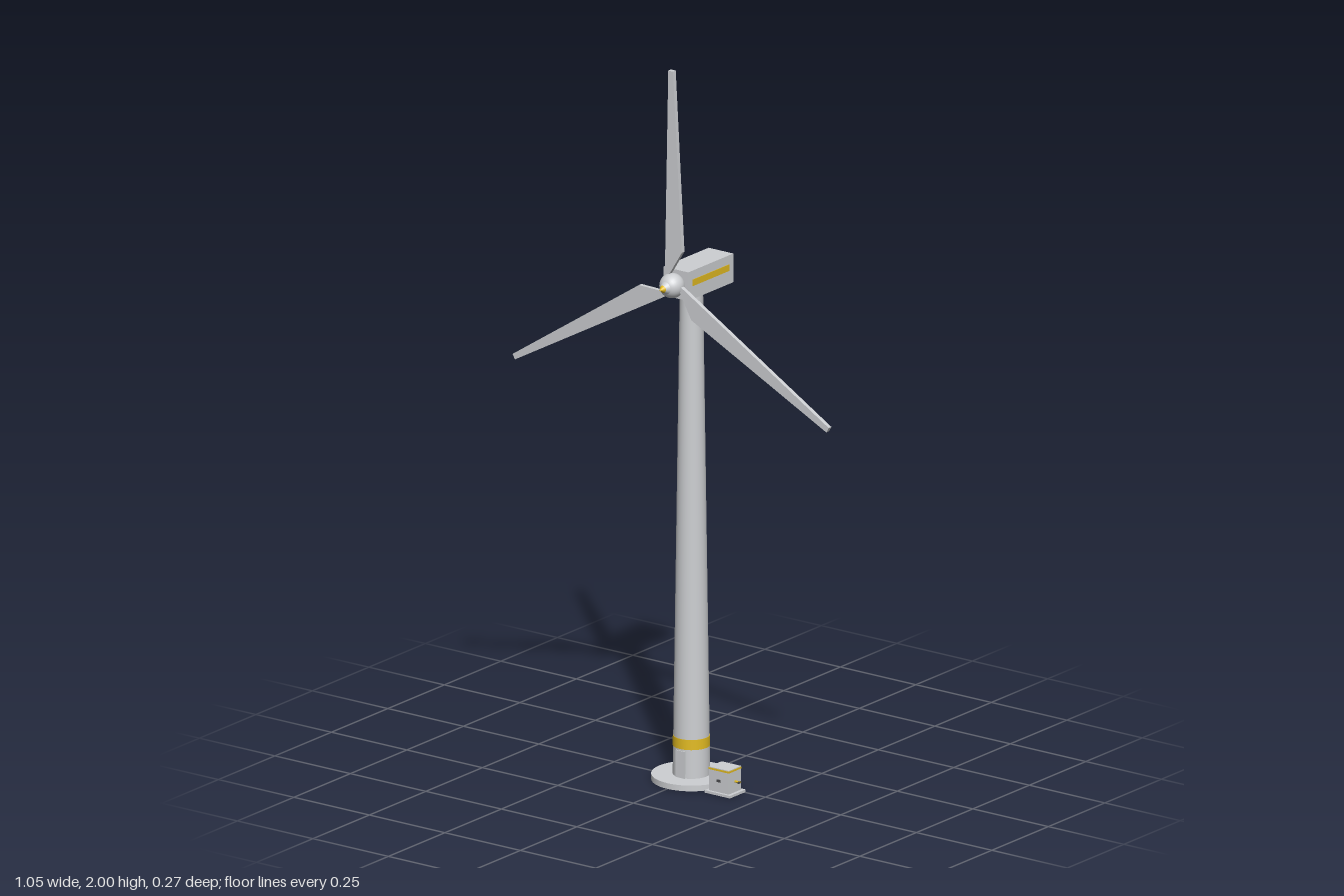
import * as THREE from 'three';

export function createModel() {
  const model = new THREE.Group();
  const paint = (name, color) => {
    const m = new THREE.MeshStandardMaterial({ color });
    m.name = name;
    return m;
  };
  const grey = paint('lightGrey', 0xcdcfd2);
  const yellow = paint('safetyYellow', 0xe2bb22);
  const dark = paint('darkGrey', 0x4a4b4d);

  const add = (name, geometry, material, x = 0, y = 0, z = 0, parent = model) => {
    const mesh = new THREE.Mesh(geometry, material);
    mesh.name = name;
    mesh.position.set(x, y, z);
    parent.add(mesh);
    return mesh;
  };
  const box = (w, h, d) => new THREE.BoxGeometry(w, h, d);

  const towerZ = -0.007;
  const hubY = 1.4;
  const hubZ = 0.079;
  const towerRadius = (y) => 0.05 - 0.019 * (y / 1.37);

  // Foundation, tapered tower, warning band and door
  add('foundation', new THREE.CylinderGeometry(0.107, 0.107, 0.016, 48), grey, 0, 0.008, towerZ);
  add('tower', new THREE.CylinderGeometry(towerRadius(1.37), towerRadius(0), 1.36, 40), grey, 0, 0.69, towerZ);
  add('warningBand', new THREE.CylinderGeometry(towerRadius(0.124) + 0.0012, towerRadius(0.096) + 0.0012, 0.028, 40),
    yellow, 0, 0.11, towerZ);
  add('door', box(0.03, 0.075, 0.008), grey, 0, 0.0535, towerZ + 0.047);

  // Nacelle with a stripe on each side
  add('nacelle', box(0.082, 0.08, 0.2), grey, 0, hubY, -0.038);
  for (const side of [-1, 1]) {
    add('nacelleStripe', box(0.003, 0.018, 0.16), yellow, side * 0.041, hubY + 0.006, -0.038);
  }

  // Rotor: round hub, pointed nose and three blades
  const rotor = new THREE.Group();
  rotor.name = 'rotor';
  rotor.position.set(0, hubY, hubZ);
  model.add(rotor);

  add('hub', new THREE.SphereGeometry(0.034, 28, 18).rotateX(Math.PI / 2), grey, 0, 0, 0, rotor);
  add('noseCone', new THREE.CylinderGeometry(0.01, 0.018, 0.012, 24).rotateX(Math.PI / 2), grey, 0, 0, 0.034, rotor);
  add('noseTip', new THREE.ConeGeometry(0.01, 0.015, 24).rotateX(Math.PI / 2), yellow, 0, 0, 0.0475, rotor);

  const outline = new THREE.Shape([
    [-0.018, 0.02], [-0.009, 0.025], [0.037, 0.1], [0.008, 0.6], [-0.008, 0.6], [-0.019, 0.04],
  ].map(([x, y]) => new THREE.Vector2(x, y)));
  const bladeGeometry = new THREE.ExtrudeGeometry(outline, { depth: 0.012, bevelEnabled: false });
  bladeGeometry.translate(0, 0, -0.006);
  for (let i = 0; i < 3; i++) {
    add('blade', bladeGeometry, grey, 0, 0, 0, rotor).rotation.z = (i * Math.PI * 2) / 3;
  }

  // Electrical cabinet beside the foundation
  const cabinet = new THREE.Group();
  cabinet.name = 'cabinet';
  cabinet.position.set(0.14, 0, 0.031);
  model.add(cabinet);

  add('cabinetPlinth', box(0.084, 0.007, 0.07), grey, 0, 0.0035, 0, cabinet);
  add('cabinetBody', box(0.065, 0.066, 0.055), grey, 0, 0.04, 0, cabinet);
  add('cabinetTrim', box(0.067, 0.005, 0.057), yellow, 0, 0.0685, 0, cabinet);
  add('cabinetLatch', box(0.012, 0.007, 0.003), dark, 0, 0.039, 0.028, cabinet);
  add('handleStem', new THREE.CylinderGeometry(0.003, 0.003, 0.018, 12).rotateZ(Math.PI / 2),
    yellow, 0.041, 0.037, 0, cabinet);
  add('handleBar', box(0.004, 0.005, 0.013), dark, 0.048, 0.037, 0, cabinet);

  return model;
}
